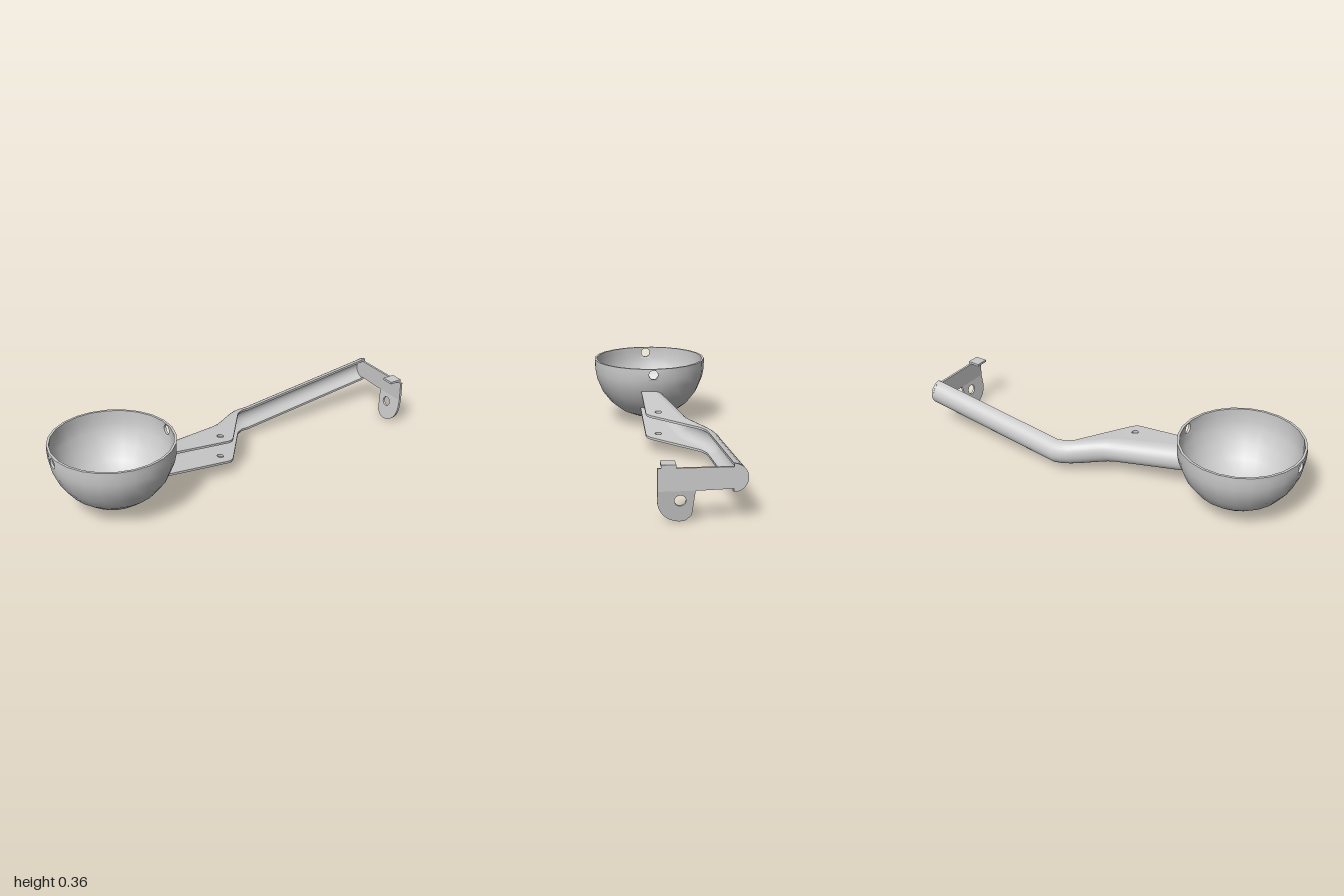
import * as THREE from 'three';
import { mergeGeometries, toCreasedNormals } from 'three/addons/utils/BufferGeometryUtils.js';

const material = new THREE.MeshStandardMaterial({ color: 0xcccccc, side: THREE.DoubleSide });
const BX = -0.693, CY = 0.335, R = 0.307, T = 0.012;  // bowl centre, radius, sheet thickness
const H = 0.0635;                                     // half height of the handle channel
const V = (x, y) => new THREE.Vector2(x, y);

// Bowl radius at a height: sphere below the centre, straight wall above
const radiusAt = (r, y) => (y >= CY ? r : Math.sqrt(r * r - (CY - y) ** 2));
// Centre height of the handle, with its kink at x = 0.22
const centreY = (x) => 0.106 + (x - 0.22) * (x < 0.22 ? -0.105 : 0.118);

// Where the handle meets the bowl, for an offset dy from the centre line
function meetBowl(dy, z) {
  let x = -0.42;
  for (let i = 0; i < 6; i++) {
    const r = R - 0.006, y = centreY(x) + dy - CY;
    x = BX + Math.sqrt(r * r - y * y - z * z);
  }
  return x;
}

function circle(x, y, r) {
  return new THREE.Path().absarc(x, y, r, 0, Math.PI * 2, true);
}

function plate(points, depth, hole) {
  const shape = points instanceof THREE.Shape ? points : new THREE.Shape(points.map((p) => V(...p)));
  if (hole) shape.holes.push(circle(...hole));
  return new THREE.ExtrudeGeometry(shape, { depth, bevelEnabled: false, curveSegments: 12 });
}

function warp(geometry, rule) {
  const p = geometry.attributes.position, v = new THREE.Vector3();
  for (let i = 0; i < p.count; i++) {
    rule(v.fromBufferAttribute(p, i));
    p.setXYZ(i, v.x, v.y, v.z);
  }
  return geometry;
}

function part(group, name, geometry, crease = 0.6) {
  const mesh = new THREE.Mesh(toCreasedNormals(geometry, crease), material);
  mesh.name = name;
  group.add(mesh);
  return mesh;
}

// Hemispherical bowl: lower dome, two rim bands and two pierced rim panels
function bowlGeometry() {
  const seam = 0.295, top = 0.362, half = Math.PI / 24, pieces = [];
  const outer = [], inner = [];
  for (let deg = 90; deg >= 15; deg -= 15) {
    const a = deg * Math.PI / 180;
    outer.push(V(R * Math.cos(a), CY - R * Math.sin(a)));
    inner.push(V((R - T) * Math.cos(a), CY - (R - T) * Math.sin(a)));
  }
  outer[0].x = inner[0].x = 0;
  outer.push(V(radiusAt(R, seam), seam));
  inner.push(V(radiusAt(R - T, seam), seam));
  for (const profile of [outer, inner.reverse()]) {
    pieces.push(new THREE.LatheGeometry(profile, 24, Math.PI / 2 + half).toNonIndexed());
  }
  const ys = [seam, CY, top];
  const band = [...ys.map((y) => V(radiusAt(R, y), y)),
    ...ys.slice().reverse().map((y) => V(radiusAt(R - T, y), y))];
  for (const side of [-1, 1]) {
    const start = side * Math.PI / 2 + half;
    pieces.push(new THREE.LatheGeometry(band, 11, start, Math.PI - 2 * half).toNonIndexed());
    const panel = plate([[-half, seam], [half, seam], [half, CY], [half, top], [-half, top], [-half, CY]], T);
    panel.dispose();
    // hole is an ellipse in angle and height so that it is round on the wall
    const shape = new THREE.Shape([[-half, seam], [half, seam], [half, CY], [half, top], [-half, top], [-half, CY]]
      .map((p) => V(...p)));
    shape.holes.push(new THREE.Path().absellipse(0, 0.33, 0.025 / R, 0.025, 0, Math.PI * 2, true));
    pieces.push(warp(plate(shape, T), (v) => {
      const phi = side * Math.PI / 2 + v.x, r = radiusAt(R - T + v.z, v.y);
      v.set(r * Math.sin(phi), v.y, r * Math.cos(phi));
    }));
  }
  return mergeGeometries(pieces);
}

// Half-pipe back of the handle, swept along [x, back z] stations
const stations = [[-0.42, -0.066], [-0.06, -0.157], [-0.02, -0.172], [0.02, -0.197], [0.1, -0.25],
  [0.14, -0.272], [0.18, -0.286], [0.22, -0.2915], [0.99, -0.2915]];

function channelGeometry() {
  const n = 14, loop = [], pos = [], index = [];
  for (let i = 0; i <= n; i++) loop.push([H, Math.PI / 2 - Math.PI * i / n]);
  for (let i = n; i >= 0; i--) loop.push([H - T, Math.PI / 2 - Math.PI * i / n]);
  stations.forEach(([x, back], row) => {
    loop.forEach(([r, a], j) => {
      const z = back + H - r * Math.cos(a), dy = r * Math.sin(a);
      const px = row === 0 ? meetBowl(dy, z) : x;
      pos.push(px, centreY(px) + dy, z);
      if (row === stations.length - 1) return;
      const m = loop.length, p = row * m + j, q = row * m + (j + 1) % m;
      index.push(p, p + m, q, q, p + m, q + m);
    });
  });
  const g = new THREE.BufferGeometry();
  g.setAttribute('position', new THREE.Float32BufferAttribute(pos, 3));
  g.setIndex(index);
  return g;
}

// Wide flange joining the channel edge to the front, pierced once
function flangeGeometry(bottom) {
  const front = [[-0.42, 0.065], [-0.085, 0.065], [-0.065, 0.06], [-0.045, 0.043],
    [0.135, -0.195], [0.165, -0.219], [0.22, -0.228]];
  const rear = stations.slice(0, 7).reverse().map(([x, z]) => [x, z + H]);
  const root = [[-0.42, 0.02], [-0.42, 0.043]];
  const outline = [...front, ...rear, ...root].map(([x, z]) => [x, -z]);
  const g = plate(outline, T, [-0.095, 0, 0.017]).rotateX(-Math.PI / 2).translate(0, bottom, 0);
  return warp(g, (v) => {
    if (v.x < -0.3) v.x = meetBowl(v.y, v.z);
    v.y += centreY(v.x);
  });
}

// End bracket, drawn in (-z, y) and turned to face +x
function armGeometry() {
  const s = new THREE.Shape();
  s.moveTo(-0.098, 0.145);
  s.lineTo(0.065, 0.145);
  s.lineTo(0.228, 0.15);
  s.lineTo(0.228, 0.198 - H);
  s.absarc(0.228, 0.198, H, -Math.PI / 2, Math.PI / 2, false);
  s.lineTo(0.228, 0.247);
  s.lineTo(-0.018, 0.247);
  s.lineTo(-0.018, 0.262);
  s.lineTo(-0.082, 0.262);
  s.lineTo(-0.082, 0.247);
  s.lineTo(-0.098, 0.247);
  return plate(s, T).rotateY(Math.PI / 2).translate(1 - T, 0, 0);
}

function legGeometry() {
  const s = new THREE.Shape();
  s.moveTo(0.065, 0.145);
  s.lineTo(-0.098, 0.145);
  s.lineTo(-0.098, 0.1);
  s.absarc(0, 0.1, 0.098, Math.PI, Math.PI * 1.58, false);
  s.lineTo(0.051, 0.03);
  const g = plate(s, T, [0, 0.1, 0.025]).rotateY(Math.PI / 2).translate(1 - T, 0, 0);
  return warp(g, (v) => { v.x -= (0.145 - v.y) * 0.16; });
}

export function createModel() {
  const model = new THREE.Group();
  model.name = 'ladle';
  part(model, 'bowl', bowlGeometry()).position.x = BX;

  const handle = new THREE.Group();
  handle.name = 'handle';
  part(handle, 'channel', channelGeometry());
  part(handle, 'topFlange', flangeGeometry(H - T));
  part(handle, 'bottomFlange', flangeGeometry(-H));
  model.add(handle);

  const bracket = new THREE.Group();
  bracket.name = 'endBracket';
  part(bracket, 'arm', armGeometry());
  part(bracket, 'leg', legGeometry());
  part(bracket, 'tab', new THREE.BoxGeometry(0.055, T, 0.064)).position.set(0.9625, 0.256, 0.05);
  model.add(bracket);
  return model;
}
